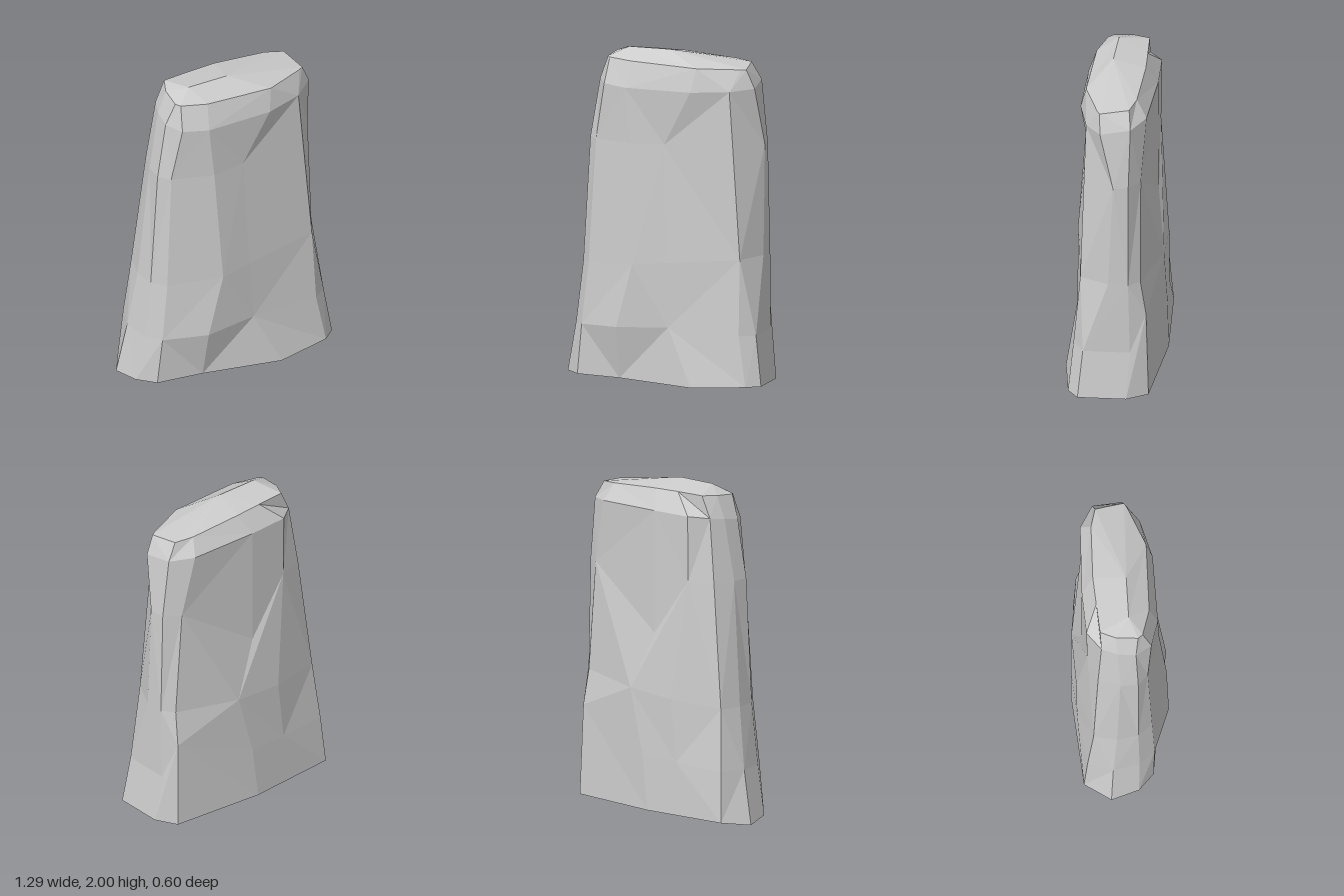
import * as THREE from 'three';

// Outlines of the slab from the ground up: x, z pairs, starting at the back
// corner on -x and running along the back, the +x side, the front, the -x side.
const base = [-.54, -.3, -.27, -.3, .01, -.3, .58, -.21, .645, -.08, .64, .21, .56, .27, .23, .3, -.25, .18, -.53, .12, -.62, .02, -.65, -.15];
const foot = [-.52, -.275, -.2, -.295, .05, -.295, .565, -.195, .605, -.1, .6, .18, .51, .24, .07, .24, -.25, .25, -.5, .13, -.565, .03, -.585, -.13];
const waist = [-.49, -.235, -.16, -.293, .15, -.28, .55, -.16, .605, -.09, .6, .03, .505, .2, .05, .23, -.15, .25, -.46, .12, -.52, .03, -.53, -.1];
const chest = [-.41, -.197, -.25, -.24, 0, -.24, .5, -.16, .59, -.09, .6, 0, .455, .18, .03, .185, -.18, .2, -.42, .1, -.475, .035, -.465, -.07];
const shoulder = [-.36, -.17, -.25, -.245, 0, -.238, .42, -.19, .55, -.1, .56, .08, .43, .17, .2, .215, -.21, .19, -.36, .13, -.415, .03, -.4, -.08];
const rim = [-.3, -.17, -.12, -.168, .05, -.165, .38, -.13, .49, -.09, .51, .085, .48, .1, .23, .18, -.19, .14, -.34, .08, -.36, .05, -.345, -.08];
const COUNT = 12;

// Turns an outline into 3D corners, with the height given by a rule
const ring = (outline, height) => Array.from({ length: COUNT }, (_, i) => {
  const x = outline[2 * i], z = outline[2 * i + 1];
  return new THREE.Vector3(x, height(x, z, i), z);
});

function slabGeometry() {
  const ridgeA = new THREE.Vector3(-.24, 2, .01);
  const ridgeB = new THREE.Vector3(.01, 2, .03);
  const rings = [
    ring(base, (x, z, i) => (i === 11 ? 0 : i === 7 ? .01 : .025)),
    // the back +x corner of the foot is chipped higher up
    ring(foot, (x, z, i) => (i === 3 ? .57 : .36 - .06 * Math.abs(x))),
    ring(waist, (x) => .74 + .08 * x),
    // the middle of the back breaks lower down
    ring(chest, (x, z, i) => (i === 2 ? 1.1 : 1.45)),
    ring(shoulder, (x, z) => 1.81 - .15 * z),
    ring(rim, (x, z) => 1.95 - .1 * z - .06 * Math.max(x, 0)),
    // the crown closes on a short ridge
    Array.from({ length: COUNT }, (_, i) => (i >= 2 && i <= 7 ? ridgeB : ridgeA)),
  ];

  const points = [];
  const triangle = (a, b, c) => {
    if (a !== b && b !== c && c !== a) points.push(a, b, c);
  };

  // Sides and crown, with diagonals that alternate
  for (let r = 0; r < rings.length - 1; r++) {
    for (let i = 0; i < COUNT; i++) {
      const j = (i + 1) % COUNT;
      const a = rings[r][i], b = rings[r][j], c = rings[r + 1][i], d = rings[r + 1][j];
      if ((r + i) % 2) {
        triangle(b, a, c);
        triangle(b, c, d);
      } else {
        triangle(b, a, d);
        triangle(a, c, d);
      }
    }
  }

  // Underside
  const middle = new THREE.Vector3(0, .025, 0);
  for (let i = 0; i < COUNT; i++) triangle(middle, rings[0][i], rings[0][(i + 1) % COUNT]);

  const geometry = new THREE.BufferGeometry().setFromPoints(points);
  geometry.computeVertexNormals();
  return geometry;
}

export function createModel() {
  const model = new THREE.Group();
  model.name = 'standingStone';
  const stone = new THREE.Mesh(
    slabGeometry(),
    new THREE.MeshStandardMaterial({ color: 0xcccccc, flatShading: true })
  );
  stone.name = 'stoneSlab';
  model.add(stone);
  return model;
}
